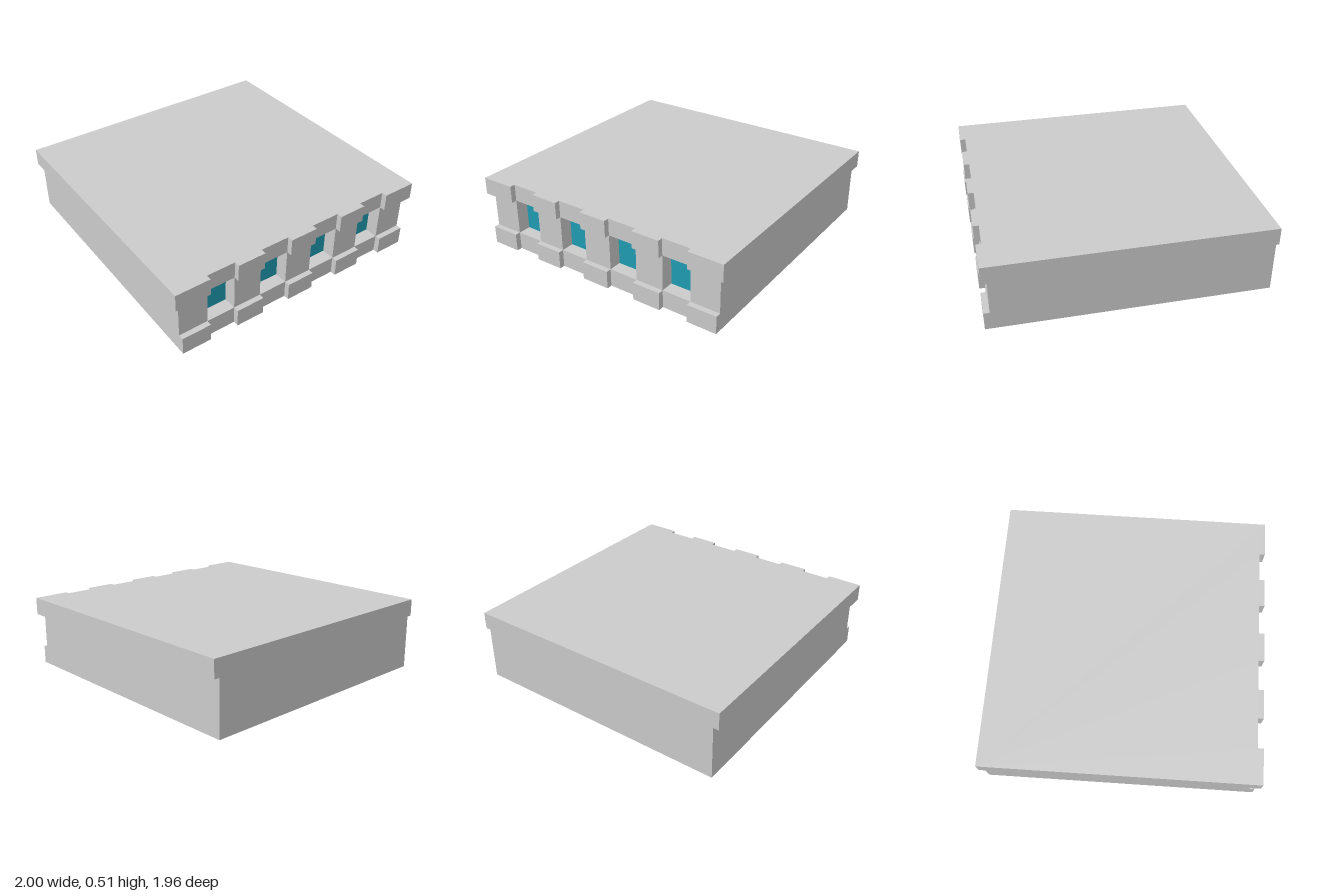
import * as THREE from 'three';

const BACK = -0.98, WALL = 0.94, RIB = 0.98, GLASS = 0.845;
// left and right edge of each window bay
const BAYS = [[-0.745, -0.535], [-0.325, -0.108], [0.102, 0.32], [0.53, 0.743]];

// Extrudes a plan whose front edge steps back from zFront to zBay at every bay
function storey(name, halfWidth, zFront, zBay, y0, y1, material) {
  const plan = [[-halfWidth, BACK], [-halfWidth, zFront]];
  for (const [a, b] of BAYS) plan.push([a, zFront], [a, zBay], [b, zBay], [b, zFront]);
  plan.push([halfWidth, zFront], [halfWidth, BACK]);
  const shape = new THREE.Shape(plan.map(([x, z]) => new THREE.Vector2(x, -z)));
  const geometry = new THREE.ExtrudeGeometry(shape, { depth: y1 - y0, bevelEnabled: false });
  geometry.rotateX(-Math.PI / 2).translate(0, y0, 0);
  const mesh = new THREE.Mesh(geometry, material);
  mesh.name = name;
  return mesh;
}

export function createModel() {
  const model = new THREE.Group();
  model.name = 'building';
  const grey = new THREE.MeshStandardMaterial({ color: 0xcccccc, flatShading: true });
  const teal = new THREE.MeshStandardMaterial({ color: 0x1f9db3, flatShading: true });

  // Plinth, wall with recessed windows, and overhanging roof
  model.add(
    storey('plinth', 0.96, RIB, WALL, 0, 0.13, grey),
    storey('wall', 0.96, WALL, GLASS - 0.005, 0.13, 0.39, grey),
    storey('roof', 1, RIB, WALL, 0.39, 0.515, grey)
  );

  // Window panes at the back of each recess
  for (const [a, b] of BAYS) {
    const pane = new THREE.Mesh(new THREE.PlaneGeometry(b - a, 0.26), teal);
    pane.position.set((a + b) / 2, 0.26, GLASS);
    pane.name = 'windowPane';
    model.add(pane);
  }
  return model;
}
